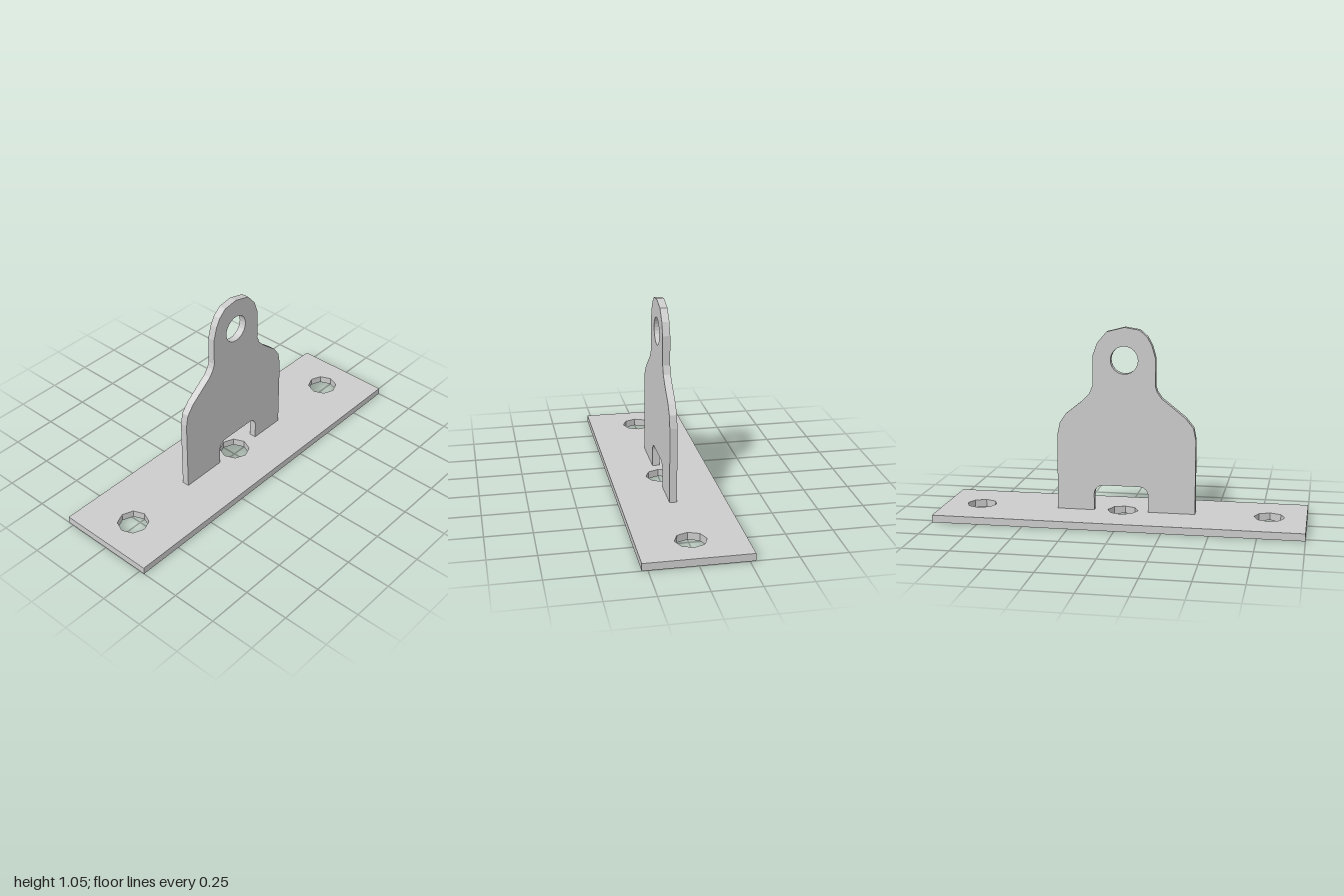
import * as THREE from 'three';

const material = new THREE.MeshStandardMaterial({ color: 0xcccccc, flatShading: true });

// Regular polygon hole with a corner on the horizontal axis
function polygonHole(cx, cy, radius, sides) {
  const points = [];
  for (let i = 0; i < sides; i++) {
    const a = (-i / sides) * Math.PI * 2;
    points.push(new THREE.Vector2(cx + radius * Math.cos(a), cy + radius * Math.sin(a)));
  }
  return new THREE.Path(points);
}

// Flat plate cut from a shape, centred on its own thickness
function plate(name, shape, depth) {
  const geometry = new THREE.ExtrudeGeometry(shape, { depth, bevelEnabled: false, curveSegments: 6 });
  geometry.translate(0, 0, -depth / 2);
  const mesh = new THREE.Mesh(geometry, material);
  mesh.name = name;
  return mesh;
}

export function createModel() {
  const group = new THREE.Group();
  group.name = 'mountingBracket';
  const thickness = 0.04;

  // Base plate with three octagonal bolt holes
  const baseShape = new THREE.Shape([[-1, -0.28], [1, -0.28], [1, 0.28], [-1, 0.28]]
    .map(([x, y]) => new THREE.Vector2(x, y)));
  for (const x of [-0.8, 0, 0.8]) baseShape.holes.push(polygonHole(x, 0, 0.083, 8));
  const base = plate('basePlate', baseShape, thickness);
  base.rotation.x = -Math.PI / 2;
  base.position.y = thickness / 2;
  group.add(base);

  // Upright tab: shoulders narrow to a rounded eye
  const tab = new THREE.Shape();
  tab.moveTo(0.156, thickness);
  tab.lineTo(0.36, thickness);
  const outline = [
    // right shoulder and neck
    [0.36, 0.455], [0.345, 0.525], [0.31, 0.575], [0.223, 0.645], [0.18, 0.69], [0.162, 0.735],
    // rounded top
    [0.162, 0.895], [0.137, 0.965], [0.085, 1.025], [-0.012, 1.05],
    [-0.093, 1.037], [-0.135, 1.0], [-0.16, 0.955], [-0.18, 0.885],
    // left neck and shoulder
    [-0.18, 0.735], [-0.19, 0.705], [-0.215, 0.67], [-0.26, 0.635],
    [-0.345, 0.567], [-0.387, 0.515], [-0.4, 0.45],
  ];
  for (const [x, y] of outline) tab.lineTo(x, y);
  tab.lineTo(-0.4, thickness);

  // Notch with rounded upper corners
  const r = 0.05, top = 0.18;
  tab.lineTo(-0.143, thickness);
  tab.lineTo(-0.143, top - r);
  tab.absarc(-0.143 + r, top - r, r, Math.PI, Math.PI / 2, true);
  tab.absarc(0.156 - r, top - r, r, Math.PI / 2, 0, true);
  tab.closePath();

  // Eye hole
  tab.holes.push(polygonHole(-0.01, 0.873, 0.075, 24));
  group.add(plate('uprightTab', tab, thickness));

  return group;
}
